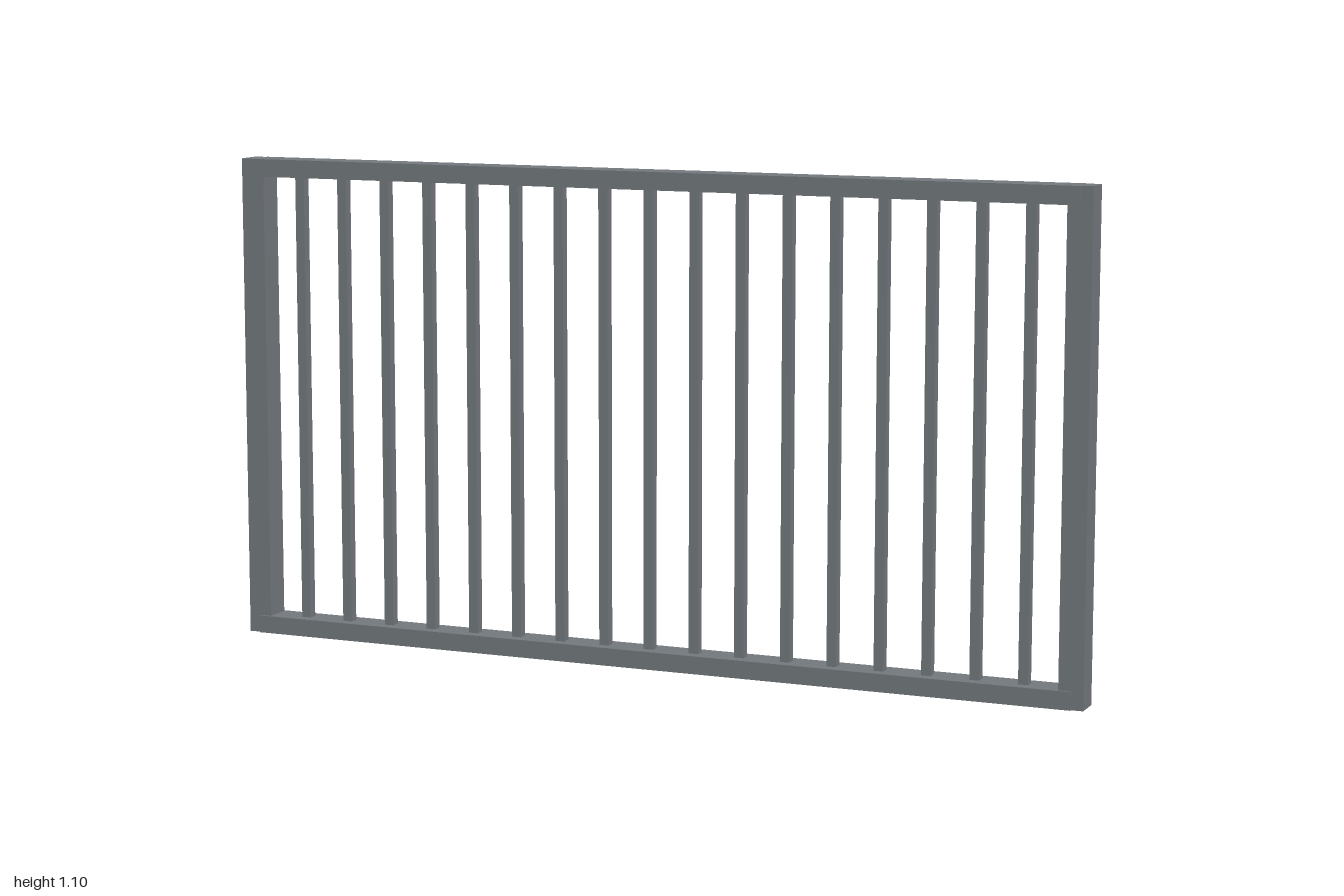
import * as THREE from 'three';

export function createModel() {
  const group = new THREE.Group();
  const material = new THREE.MeshStandardMaterial({ color: 0x73797e, flatShading: true });
  const height = 1.1, postWidth = 0.055, railHeight = 0.04;

  function box(name, w, h, d, x, y) {
    const mesh = new THREE.Mesh(new THREE.BoxGeometry(w, h, d), material);
    mesh.name = name;
    mesh.position.set(x, y, 0);
    group.add(mesh);
  }

  // End posts
  for (const side of [-1, 1]) {
    box(side > 0 ? 'leftPost' : 'rightPost', postWidth, height, 0.062, side * (1 - postWidth / 2), height / 2);
  }

  // Rails, slightly deeper than the posts and lapping over them
  box('bottomRail', 1.945, railHeight, 0.073, 0, railHeight / 2);
  box('topRail', 1.945, railHeight, 0.073, 0, height - railHeight / 2);

  // Square upright bars between the rails
  const barCount = 17, spacing = 0.1078;
  for (let i = 0; i < barCount; i++) {
    box('bar', 0.022, height - 2 * railHeight + 0.01, 0.022, (i - (barCount - 1) / 2) * spacing, height / 2);
  }

  return group;
}
